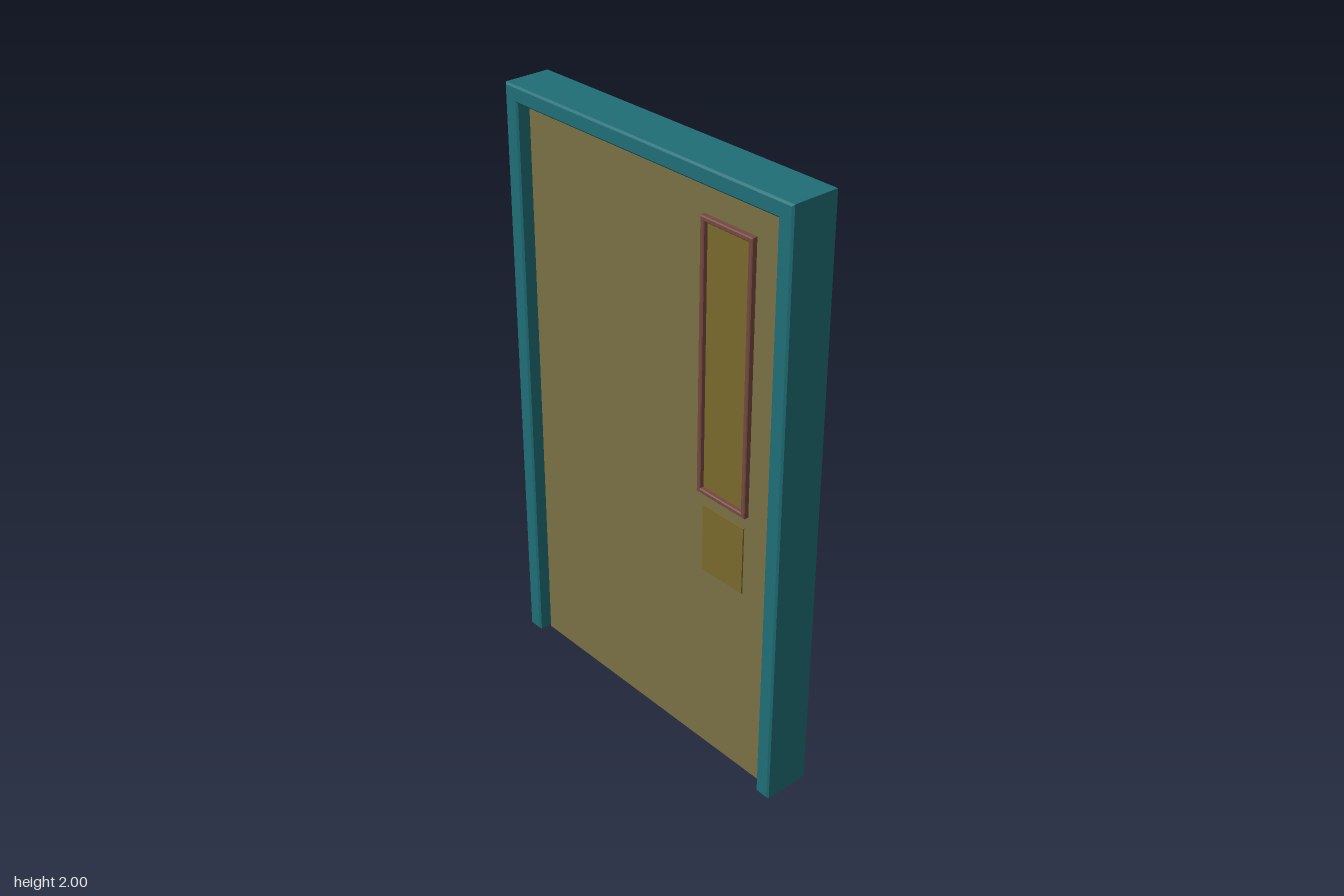
import * as THREE from 'three';

const material = (color) => new THREE.MeshStandardMaterial({ color });
const TEAL = material(0x1f6e76), OLIVE = material(0x7a7043);
const MAROON = material(0x74483f), AMBER = material(0x78692c);

function rectanglePath(PathType, x0, y0, x1, y1) {
  const path = new PathType();
  path.moveTo(x0, y0).lineTo(x1, y0).lineTo(x1, y1).lineTo(x0, y1).closePath();
  return path;
}

// Extrude an outline centred on z = 0, with a bevel that keeps the outline's size
function slab(name, shape, depth, bevel, mat) {
  const geometry = new THREE.ExtrudeGeometry(shape, {
    depth: depth - 2 * bevel, bevelEnabled: bevel > 0, bevelThickness: bevel,
    bevelSize: bevel, bevelOffset: -bevel, bevelSegments: 1,
  });
  geometry.translate(0, 0, -depth / 2 + bevel);
  const mesh = new THREE.Mesh(geometry, mat);
  mesh.name = name;
  return mesh;
}

function box(name, x0, y0, x1, y1, depth, mat, z = 0) {
  const mesh = new THREE.Mesh(new THREE.BoxGeometry(x1 - x0, y1 - y0, depth), mat);
  mesh.position.set((x0 + x1) / 2, (y0 + y1) / 2, z);
  mesh.name = name;
  return mesh;
}

export function createModel() {
  const door = new THREE.Group();
  door.name = 'door';

  // Surround: two jambs and a header in one bevelled piece
  const W = 0.597, w = 0.543, top = 2, open = 1.947, foot = 0.006;
  const outline = new THREE.Shape([
    [-W, foot], [-w, foot], [-w, open], [w, open], [w, foot], [W, foot], [W, top], [-W, top],
  ].map(([x, y]) => new THREE.Vector2(x, y)));
  door.add(slab('doorFrame', outline, 0.167, 0.006, TEAL));

  // Door leaf, with a thin gap under the header
  const leafDepth = 0.076;
  door.add(box('doorLeaf', -0.541, 0, 0.541, 1.94, leafDepth, OLIVE));

  // Tall window and handle plate, the same on both faces
  door.add(box('windowPane', 0.238, 0.965, 0.414, 1.83, leafDepth + 0.006, AMBER));
  door.add(box('handlePlate', 0.24, 0.675, 0.413, 0.908, leafDepth + 0.01, AMBER));

  // Raised trim around the window
  const trim = rectanglePath(THREE.Shape, 0.224, 0.955, 0.428, 1.842);
  trim.holes.push(rectanglePath(THREE.Path, 0.24, 0.971, 0.412, 1.826));
  door.add(slab('windowTrim', trim, leafDepth + 0.036, 0.003, MAROON));

  return door;
}
